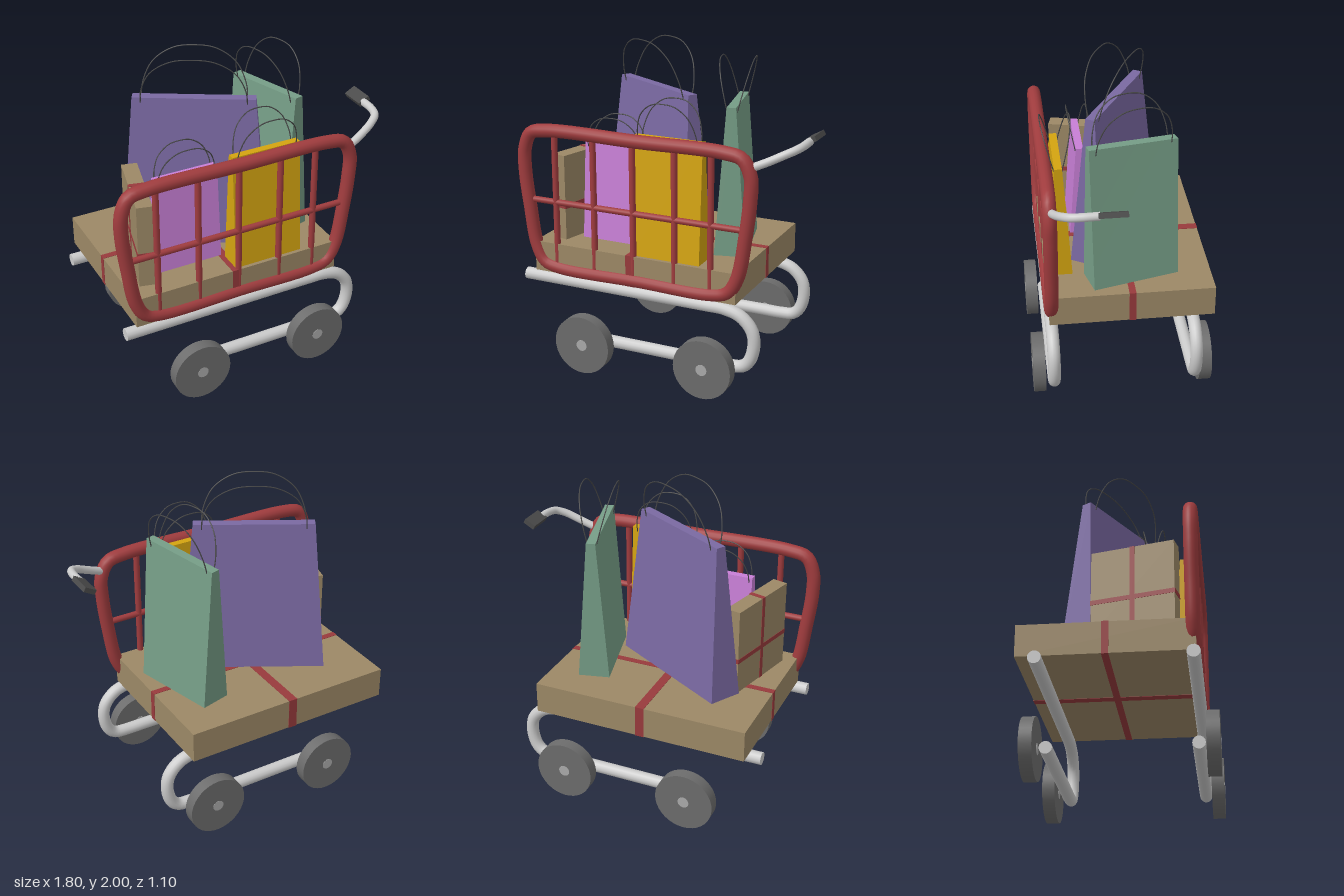
import * as THREE from 'three';

const mat = (color) => new THREE.MeshStandardMaterial({ color });
const steel = mat(0xcccccc), red = mat(0xa03c3e), card = mat(0x9c8866), ribbonMat = mat(0x983a3c);
const rubber = mat(0x6c6c6c), hubMat = mat(0xaaaaaa), gripMat = mat(0x4a4a4a), wire = mat(0x484848);

function add(parent, name, geometry, material, x = 0, y = 0, z = 0) {
  const mesh = new THREE.Mesh(geometry, material);
  mesh.name = name;
  mesh.position.set(x, y, z);
  parent.add(mesh);
  return mesh;
}

// Round tube along a smooth path, with flat caps when open
function tube(parent, name, pts, radius, material, { closed = false, segs = 80, sides = 14 } = {}) {
  const group = new THREE.Group();
  group.name = name;
  parent.add(group);
  const curve = new THREE.CatmullRomCurve3(pts.map((p) => new THREE.Vector3(...p)), closed);
  add(group, name + 'Tube', new THREE.TubeGeometry(curve, segs, radius, sides, closed), material);
  if (!closed) {
    for (const t of [0, 1]) {
      const p = curve.getPointAt(t);
      const out = curve.getTangentAt(t).multiplyScalar(t ? 1 : -1);
      const cap = add(group, name + 'Cap', new THREE.CircleGeometry(radius, sides), material, p.x, p.y, p.z);
      cap.quaternion.setFromUnitVectors(new THREE.Vector3(0, 0, 1), out);
    }
  }
  return group;
}

// Cardboard box with crossed ribbon bands wrapped around it
function parcel(parent, name, [w, h, d], bands) {
  const group = new THREE.Group();
  group.name = name;
  parent.add(group);
  add(group, name + 'Carton', new THREE.BoxGeometry(w, h, d), card);
  const e = 0.005;
  for (const { size, at } of bands) {
    const dims = [w, h, d].map((v, i) => size[i] || v + e);
    add(group, name + 'Ribbon', new THREE.BoxGeometry(...dims), ribbonMat, ...at);
  }
  return group;
}

// Tapered paper bag with two wire handles leaning outwards
function bag(parent, name, o) {
  const group = new THREE.Group();
  group.name = name;
  group.position.set(o.x, 0.777, o.z);
  group.rotation.y = o.turn || 0;
  parent.add(group);
  const geo = new THREE.BoxGeometry(1, o.h, 1);
  geo.translate(0, o.h / 2, 0);
  const pos = geo.attributes.position;
  for (let i = 0; i < pos.count; i++) {
    const [l, w] = pos.getY(i) > 0.01 ? o.top : o.base;
    const x = pos.getX(i) * l;
    const slope = pos.getY(i) > 0.01 ? (o.tilt || 0) * x : 0;
    pos.setXYZ(i, x, pos.getY(i) + slope, pos.getZ(i) * w);
  }
  geo.computeVertexNormals();
  add(group, name + 'Body', geo, mat(o.color));
  const s = o.span, foot = o.h - 0.03, rise = o.peak - 0.777 - foot;
  for (const side of [-1, 1]) {
    const arch = [[-1, 0], [-0.97, 0.3], [-0.78, 0.7], [-0.4, 0.95], [0, 1], [0.4, 0.95], [0.78, 0.7], [0.97, 0.3], [1, 0]];
    const pts = arch.map(([u, v]) => [u * s, foot + v * rise, side * (o.top[1] / 2 + v * (o.flare - o.top[1] / 2))]);
    tube(group, name + 'Handle', pts, 0.0035, wire, { segs: 40, sides: 6 });
  }
}

export function createModel() {
  const model = new THREE.Group();
  model.name = 'shoppingCart';

  // Undercarriage: a bent rail and two wheels on each side
  for (const side of [1, -1]) {
    const z = side * 0.427;
    tube(model, 'sideRail', [
      [-0.87, 0.548, z], [-0.2, 0.548, z], [0.35, 0.548, z], [0.46, 0.546, z], [0.565, 0.515, z], [0.635, 0.44, z],
      [0.65, 0.35, z], [0.625, 0.25, z], [0.58, 0.205, z], [0.5, 0.195, z], [0.37, 0.195, z], [-0.43, 0.195, z],
    ], 0.038, steel, { segs: 120 });
    for (const x of [-0.43, 0.37]) {
      const wheel = new THREE.Group();
      wheel.name = 'wheel';
      wheel.position.set(x, 0.186, side * 0.51);
      wheel.rotation.x = Math.PI / 2;
      model.add(wheel);
      add(wheel, 'tyre', new THREE.CylinderGeometry(0.183, 0.183, 0.075, 36), rubber);
      add(wheel, 'hub', new THREE.CylinderGeometry(0.035, 0.035, 0.079, 20), hubMat);
    }
  }

  // Front basket panel: rounded hoop with a grille
  const zf = 0.425;
  tube(model, 'basketFrame', [
    [-0.64, 0.62], [-0.1, 0.62], [0.38, 0.62], [0.48, 0.65], [0.54, 0.75], [0.585, 1.0], [0.61, 1.22],
    [0.61, 1.36], [0.56, 1.455], [0.45, 1.48], [-0.1, 1.48], [-0.7, 1.48], [-0.81, 1.455], [-0.855, 1.36],
    [-0.86, 1.22], [-0.835, 1.0], [-0.795, 0.75], [-0.74, 0.65],
  ].map(([x, y]) => [x, y, zf]), 0.041, red, { closed: true, segs: 160 });
  for (const x of [-0.65, -0.39, -0.13, 0.14, 0.37]) {
    add(model, 'grilleBar', new THREE.CylinderGeometry(0.019, 0.019, 0.86, 12), red, x, 1.05, zf);
  }
  const crossBar = add(model, 'grilleCrossBar', new THREE.CylinderGeometry(0.019, 0.019, 1.43, 12), red, -0.125, 1.04, zf);
  crossBar.rotation.z = Math.PI / 2;

  // Push handle with a flat dark grip
  tube(model, 'pushHandle', [
    [0.61, 1.41, 0.415], [0.7, 1.45, 0.395], [0.79, 1.495, 0.365], [0.84, 1.518, 0.325],
    [0.858, 1.527, 0.26], [0.86, 1.53, 0.17],
  ], 0.024, steel, { segs: 50 });
  const grip = add(model, 'grip', new THREE.BoxGeometry(0.075, 0.03, 0.16), gripMat, 0.863, 1.535, 0.1);
  grip.rotation.z = 0.5;

  // Parcels
  const big = parcel(model, 'largeParcel', [1.335, 0.19, 0.99], [
    { size: [0.055, 0, 0], at: [-0.015, 0, 0] },
    { size: [0, 0, 0.04], at: [0, 0, 0] },
  ]);
  big.position.set(-0.133, 0.68, -0.055);
  const small = parcel(model, 'smallParcel', [0.095, 0.533, 0.5], [
    { size: [0, 0, 0.028], at: [0, 0, 0] },
    { size: [0, 0.028, 0], at: [0, -0.055, 0] },
  ]);
  small.position.set(-0.62, 1.043, 0.093);
  small.rotation.y = -0.24;

  // Shopping bags; sizes are [length, width]
  bag(model, 'purpleBag', { color: 0x7a69a2, x: -0.185, z: -0.03, turn: -0.52, h: 0.943, base: [0.88, 0.206], top: [0.72, 0.06], span: 0.31, peak: 1.997, flare: 0.105 });
  bag(model, 'greenBag', { color: 0x769e87, x: 0.323, z: -0.07, turn: -1.32, h: 0.89, base: [0.535, 0.19], top: [0.54, 0.055], span: 0.23, peak: 1.925, flare: 0.1, tilt: 0.045 });
  bag(model, 'pinkBag', { color: 0xc87fd6, x: -0.36, z: 0.188, h: 0.6, base: [0.405, 0.135], top: [0.4, 0.045], span: 0.18, peak: 1.55, flare: 0.062 });
  bag(model, 'yellowBag', { color: 0xd4a410, x: 0.075, z: 0.35, h: 0.725, base: [0.44, 0.14], top: [0.44, 0.045], span: 0.19, peak: 1.72, flare: 0.088 });

  return model;
}
